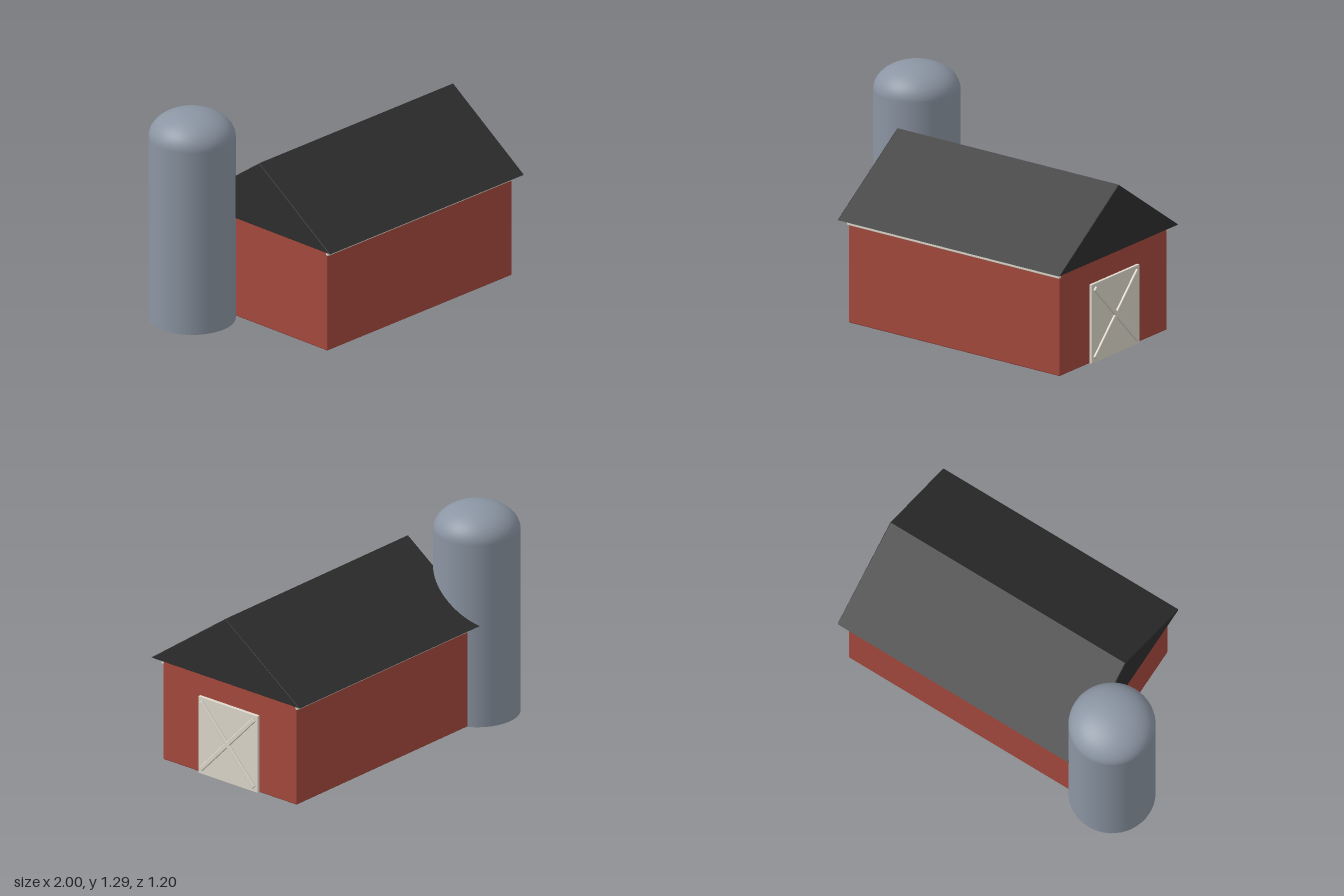
import * as THREE from 'three';
import { RoundedBoxGeometry } from 'three/addons/geometries/RoundedBoxGeometry.js';

const paint = (name, color) => {
  const m = new THREE.MeshStandardMaterial({ color });
  m.name = name;
  return m;
};

export function createModel() {
  const barn = new THREE.Group();
  barn.name = 'barnWithSilo';
  const red = paint('barnRed', 0xa4493d);
  const charcoal = paint('roofCharcoal', 0x2e2e2e);
  const cream = paint('trimCream', 0xddd7cb);
  const steel = paint('siloGrey', 0x8b95a3);
  const MID_Z = 0.036;

  const add = (name, geometry, material, x, y, z) => {
    const mesh = new THREE.Mesh(geometry, material);
    mesh.name = name;
    mesh.position.set(x, y, z);
    barn.add(mesh);
    return mesh;
  };
  const box = (w, h, d, r) => new RoundedBoxGeometry(w, h, d, 2, r);

  // Barn body
  add('walls', box(1.52, 0.63, 1.01, 0.008), red, 0.2, 0.315, MID_Z);

  // Gable roof: a triangle extruded along x, with softened gable edges
  const bevel = 0.006;
  const gable = new THREE.Shape([
    new THREE.Vector2(-0.562, 0.63),
    new THREE.Vector2(0.562, 0.63),
    new THREE.Vector2(0, 1.03),
  ]);
  const length = 1.597;
  const roof = new THREE.ExtrudeGeometry(gable, {
    depth: length - 2 * bevel, bevelEnabled: true, bevelThickness: bevel,
    bevelSize: bevel, bevelOffset: -bevel, bevelSegments: 2,
  });
  roof.translate(0, 0, -length / 2 + bevel);
  roof.rotateY(Math.PI / 2);
  add('roof', roof, charcoal, 0.2015, 0, MID_Z);

  // Trim boards under both eaves
  for (const side of [-1, 1]) {
    add('eaveTrim', box(1.53, 0.036, 0.018, 0.005), cream, 0.2, 0.612, MID_Z + side * 0.507);
  }

  // Door with crossed braces
  add('door', box(0.03, 0.48, 0.45, 0.003), cream, 0.962, 0.24, MID_Z);
  for (const side of [-1, 1]) {
    const brace = add('doorBrace', box(0.016, 0.585, 0.028, 0.005), cream, 0.982, 0.242, MID_Z);
    brace.rotation.x = side * Math.atan2(0.4, 0.42);
  }

  // Silo with a flattened dome
  add('silo', new THREE.CylinderGeometry(0.25, 0.25, 1.13, 48), steel, -0.75, 0.565, -0.35);
  const dome = new THREE.SphereGeometry(0.25, 48, 16, 0, Math.PI * 2, 0, Math.PI / 2);
  dome.scale(1, 0.64, 1);
  add('siloDome', dome, steel, -0.75, 1.13, -0.35);

  return barn;
}
